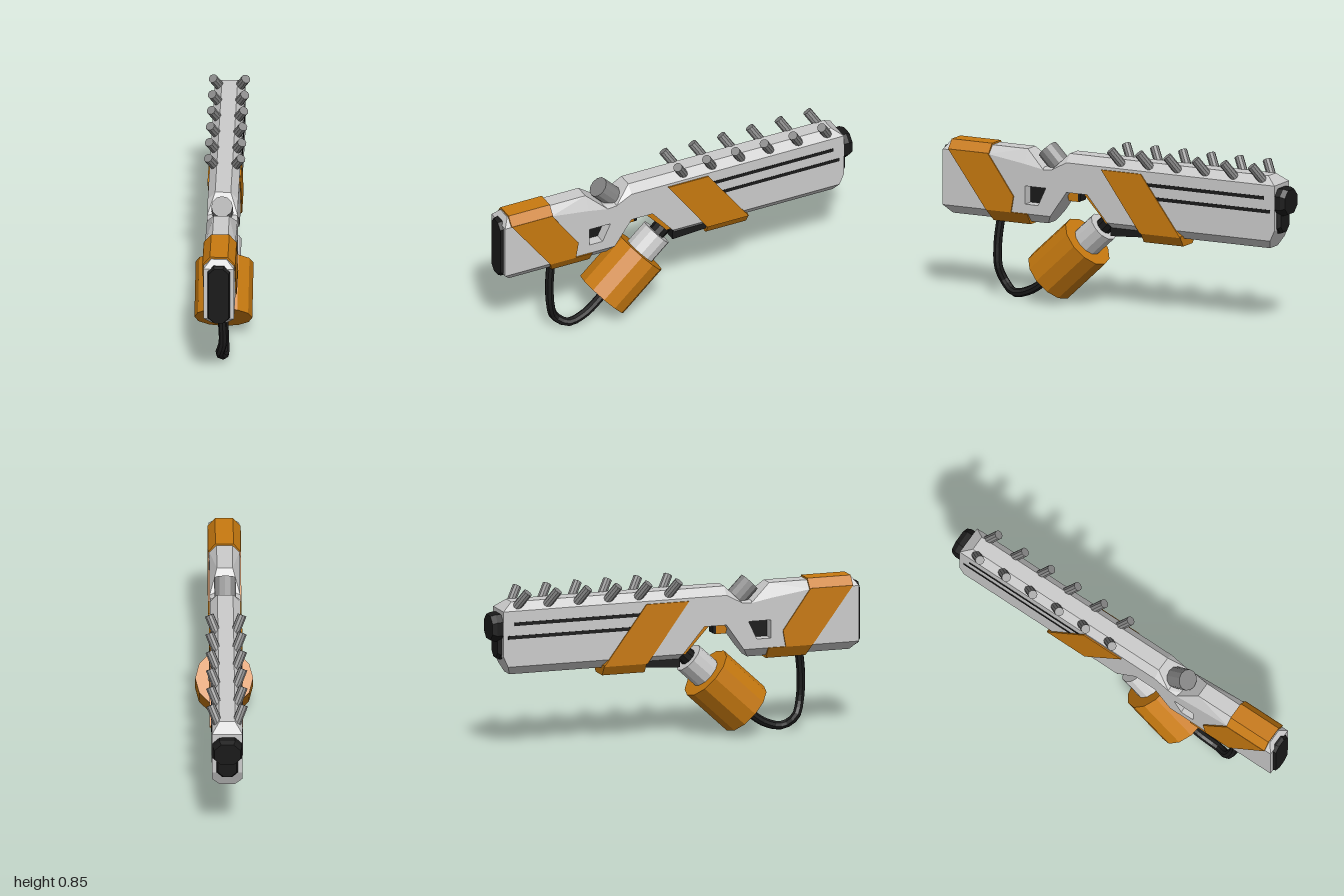
import * as THREE from 'three';
import { ConvexGeometry } from 'three/addons/geometries/ConvexGeometry.js';

const mat = (color) => new THREE.MeshStandardMaterial({ color, flatShading: true });
const V = (x, y, z) => new THREE.Vector3(x, y, z);

export function createModel() {
  const model = new THREE.Group();
  const grey = mat(0xcccccc), steel = mat(0x858585), orange = mat(0xc87a10), dark = mat(0x1a1a1a);
  const CX = -0.006; // centre line of the body

  const add = (name, geometry, material, x = CX) => {
    const m = new THREE.Mesh(geometry, material);
    m.name = name;
    m.position.x = x;
    model.add(m);
    return m;
  };

  // Side profile of [z, y] points extruded across x
  const slab = (name, pts, halfWidth, material, hole) => {
    const toVec = (l) => l.map(([z, y]) => new THREE.Vector2(z, y));
    const shape = new THREE.Shape(toVec(pts));
    if (hole) shape.holes.push(new THREE.Path(toVec(hole)));
    const g = new THREE.ExtrudeGeometry(shape, { depth: halfWidth * 2, bevelEnabled: false });
    g.translate(0, 0, -halfWidth).rotateY(-Math.PI / 2);
    return add(name, g, material);
  };

  // Chamfered strip through stations [z, y, halfWidth, zOuter, yOuter, halfWidthOuter]
  const strip = (name, stations, material) => {
    const pts = ([z, y, w, z2, y2, w2]) => [V(-w, y, z), V(w, y, z), V(-w2, y2, z2), V(w2, y2, z2)];
    for (let i = 0; i + 1 < stations.length; i++)
      add(name, new ConvexGeometry([...pts(stations[i]), ...pts(stations[i + 1])]), material);
  };

  // Cylinder between two points
  const rod = (name, a, b, r, sides, material, x = CX) => {
    const d = b.clone().sub(a);
    const m = add(name, new THREE.CylinderGeometry(r, r, d.length(), sides), material, x);
    m.position.add(a.clone().add(b).multiplyScalar(0.5));
    m.quaternion.setFromUnitVectors(V(0, 1, 0), d.normalize());
    return m;
  };

  // Octagonal plate [halfWidth, halfHeight] lofted from z0 to a smaller z1 face
  const plate = (name, y, hw, hh, cut, z0, z1, inset) => {
    const ring = (w, h, c, z) => [-1, 1].flatMap((sx) => [-1, 1].flatMap((sy) => [
      V(sx * w, y + sy * (h - c), z), V(sx * (w - c), y + sy * h, z)]));
    const zm = z0 + (z1 - z0) * 0.7;
    add(name, new ConvexGeometry([...ring(hw, hh, cut, z0), ...ring(hw, hh, cut, zm),
      ...ring(hw - inset, hh - inset, cut, z1)]), dark);
  };

  // Main body with grip opening
  const W = 0.078, T = 0.04;
  const opening = [[0.505, 0.6], [0.385, 0.6], [0.43, 0.505], [0.505, 0.505]];
  slab('body', [[0.985, 0.745], [0.72, 0.745], [0.51, 0.715], [0.4, 0.695], [0.35, 0.7], [0.265, 0.745],
    [-0.945, 0.745], [-0.945, 0.51], [-0.92, 0.455], [0.03, 0.455], [0.145, 0.59], [0.265, 0.59],
    [0.36, 0.455], [0.985, 0.455]], W, grey, opening);
  slab('gripOpeningPanel', opening, 0.02, dark);
  strip('bodyTop', [
    [0.985, 0.745, W, 0.955, 0.787, T],
    [0.72, 0.745, W, 0.72, 0.787, T],
    [0.51, 0.715, W, 0.51, 0.787, T],
    [0.4, 0.695, W, 0.41, 0.703, 0.05],
    [0.35, 0.7, W, 0.35, 0.705, 0.05],
    [0.265, 0.745, W, 0.265, 0.787, T],
    [-0.945, 0.745, W, -0.89, 0.787, T]], grey);
  strip('stockUnderside', [[0.985, 0.455, W, 0.945, 0.41, T], [0.36, 0.455, W, 0.39, 0.41, T]], grey);
  strip('barrelUnderside', [[0.03, 0.455, W, 0, 0.41, T], [-0.92, 0.455, W, -0.9, 0.41, T]], grey);

  // Dark end pieces
  plate('buttPad', 0.595, 0.057, 0.165, 0.03, 0.95, 1.0, 0.006);
  plate('muzzle', 0.655, 0.075, 0.07, 0.035, -0.92, -1.0, 0.008);
  plate('muzzleLower', 0.57, 0.055, 0.082, 0.03, -0.92, -0.966, 0.008);

  // Side grooves
  for (const [y, z0, z1] of [[0.677, -0.1, -0.885], [0.608, -0.15, -0.92]])
    slab('sideGroove', [[z0, y + 0.009], [z1, y + 0.009], [z1, y - 0.009], [z0, y - 0.009]], W + 0.002, dark);

  // Orange bands
  const B = 0.085;
  slab('stockBand', [[0.95, 0.75], [0.72, 0.75], [0.57, 0.54], [0.585, 0.455], [0.73, 0.455]], B, orange);
  strip('stockBandTop', [[0.95, 0.748, B, 0.95, 0.796, 0.046], [0.715, 0.748, B, 0.715, 0.796, 0.046]], orange);
  strip('stockBandBottom', [[0.73, 0.456, B, 0.705, 0.396, 0.046], [0.49, 0.456, B, 0.49, 0.396, 0.046]], orange);
  slab('barrelBand', [[0.06, 0.73], [-0.17, 0.73], [-0.4, 0.42], [-0.165, 0.42]], B, orange);
  strip('barrelBandBottom', [[-0.17, 0.425, B, -0.17, 0.37, 0.05], [-0.4, 0.425, B, -0.4, 0.37, 0.05]], orange);

  // Trigger and guard
  slab('trigger', [[0.295, 0.595], [0.21, 0.595], [0.22, 0.535], [0.28, 0.535]], 0.025, orange);
  slab('triggerPivot', [[0.225, 0.595], [0.21, 0.595], [0.21, 0.54], [0.225, 0.54]], 0.03, dark);
  slab('guardLining', [[0.185, 0.592], [0.13, 0.592], [0.01, 0.45], [0.05, 0.445]], 0.05, orange);

  // Canister with neck and mount
  slab('canisterMount', [[0.02, 0.46], [-0.17, 0.46], [-0.17, 0.395], [0.02, 0.383]], 0.055, dark);
  const axis = V(0, 0.68, -0.733), mid = V(0, 0.229, 0.29);
  const along = (t) => mid.clone().addScaledVector(axis, t);
  rod('canister', along(-0.148), along(0.148), 0.148, 12, orange, 0);
  rod('canisterNeck', along(0.1), along(0.277), 0.083, 12, grey, 0);
  rod('canisterConnector', along(0.25), along(0.325), 0.045, 10, dark, 0);

  // Hose from stock to canister
  const path = new THREE.CatmullRomCurve3([V(-0.006, 0.42, 0.685), V(0.004, 0.28, 0.7), V(0.008, 0.15, 0.695),
    V(-0.01, 0.07, 0.665), V(0.012, 0.025, 0.6), V(0.01, 0.05, 0.5), V(0, 0.135, 0.385)]);
  add('hose', new THREE.TubeGeometry(path, 20, 0.023, 8), dark, 0);

  // Sight knob in the top notch
  rod('sightKnob', V(0, 0.79, 0.418), V(0, 0.67, 0.3), 0.055, 12, steel);

  // Rows of pegs along the top
  for (let i = 0; i < 6; i++)
    for (const s of [-1, 1]) {
      const z = -i * 0.164;
      rod('topPeg', V(s * 0.035, 0.735, z - 0.06), V(s * 0.084, 0.838, z + 0.005), 0.024, 10, steel);
    }

  return model;
}
